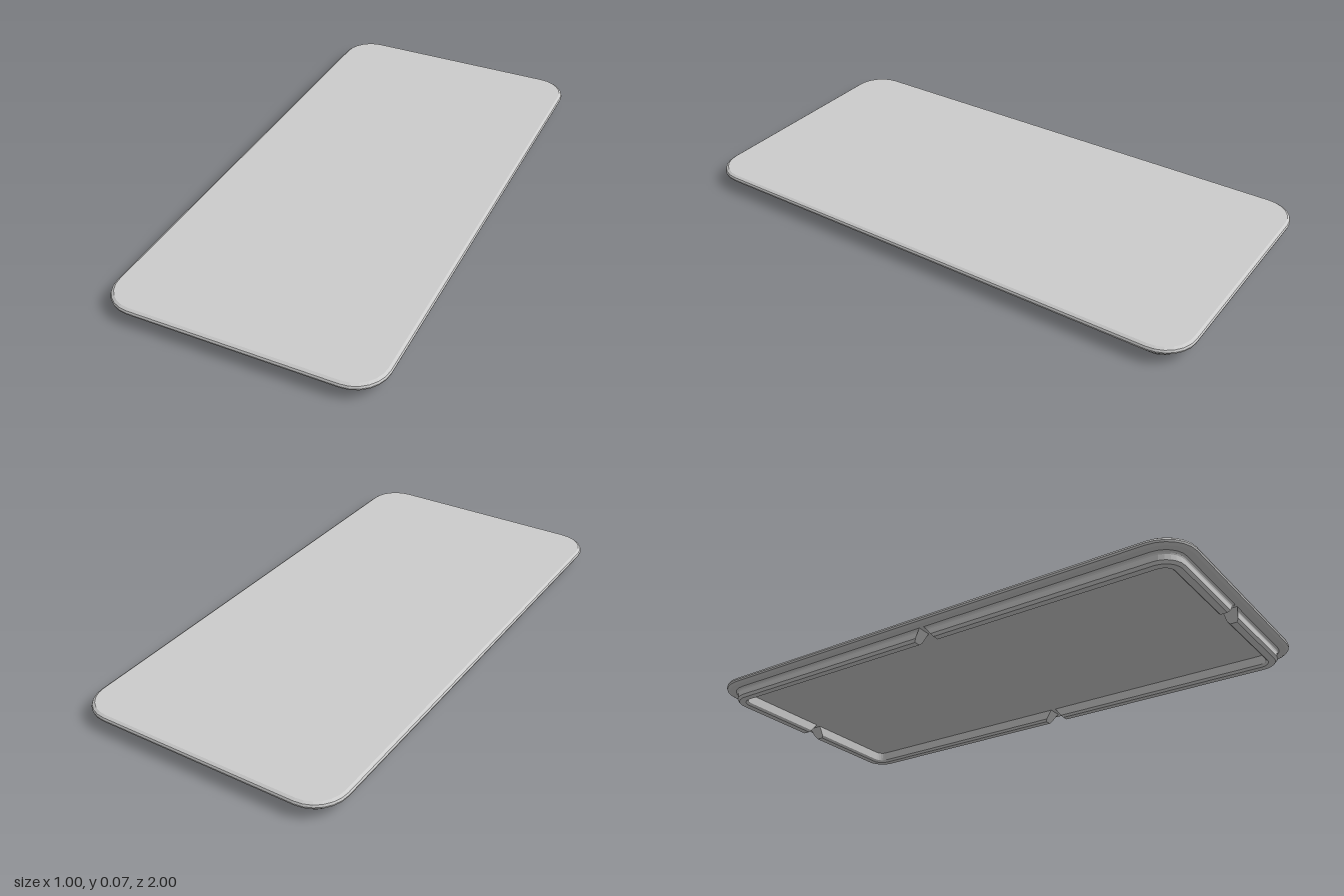
import * as THREE from 'three';

const W = 0.5, L = 1, R = 0.12, STEPS = 6;
const material = new THREE.MeshStandardMaterial({ color: 0xcccccc, flatShading: true });

// Joins rows of points into a surface; section can close, ends can be capped
function loft(rows, { closeU, closeV, caps, flip }) {
  const nu = rows.length, nv = rows[0].length, index = [];
  const tri = (a, b, c) => index.push(...(flip ? [a, c, b] : [a, b, c]));
  const id = (u, v) => (u % nu) * nv + (v % nv);
  for (let u = 0; u < (closeU ? nu : nu - 1); u++) {
    for (let v = 0; v < (closeV ? nv : nv - 1); v++) {
      tri(id(u, v), id(u + 1, v), id(u, v + 1));
      tri(id(u + 1, v), id(u + 1, v + 1), id(u, v + 1));
    }
  }
  if (caps) {
    for (let v = 1; v < nv - 1; v++) {
      tri(id(0, 0), id(0, v), id(0, v + 1));
      tri(id(nu - 1, 0), id(nu - 1, v + 1), id(nu - 1, v));
    }
  }
  const geometry = new THREE.BufferGeometry();
  geometry.setAttribute('position', new THREE.Float32BufferAttribute(rows.flat(2), 3));
  geometry.setIndex(index);
  const flat = geometry.toNonIndexed();
  flat.computeVertexNormals();
  return flat;
}

// Point on a rounded corner, inset from the plate edge
function cornerPoint(angle, inset, y, sx = 1, sz = 1) {
  const r = R - inset;
  return [sx * (W - R + r * Math.cos(angle)), y, sz * (L - R + r * Math.sin(angle))];
}

// Plate with bevelled edges; profile entries are [inset, y]
function plateGeometry() {
  const profile = [[0.012, 0.068], [0.003, 0.062], [0, 0.054], [0.002, 0.047], [0.012, 0.041], [0.06, 0.04]];
  const rows = [];
  for (let q = 0; q < 4; q++) {
    const sx = q === 0 || q === 3 ? 1 : -1, sz = q < 2 ? 1 : -1;
    for (let i = 0; i <= STEPS; i++) {
      const t = (q % 2 ? STEPS - i : i) / STEPS * Math.PI / 2;
      const ring = profile.map(([inset, y]) => cornerPoint(t, inset, y, sx, sz));
      rows.push([[0, 0.068, 0], ...ring, [0, 0.04, 0]]);
    }
  }
  return loft(rows, { closeU: true });
}

// One quarter of the foot rim, with slanted ends that leave V-shaped notches
function rimGeometry(sx, sz) {
  const section = [[0.035, 0.042], [0.043, 0.035], [0.045, 0.03], [0.045, 0.01], [0.053, 0],
    [0.078, 0], [0.086, 0.008], [0.09, 0.042]];
  const gap = (y) => 0.008 + 0.032 * (1 - y / 0.042);
  const rows = [section.map(([d, y]) => [sx * (W - d), y, sz * gap(y)])];
  for (let i = 0; i <= STEPS; i++) {
    rows.push(section.map(([d, y]) => cornerPoint(i / STEPS * Math.PI / 2, d, y, sx, sz)));
  }
  rows.push(section.map(([d, y]) => [sx * gap(y), y, sz * (L - d)]));
  return loft(rows, { closeV: true, caps: true, flip: sx * sz < 0 });
}

export function createModel() {
  const group = new THREE.Group();
  group.name = 'tray';
  const add = (name, geometry) => {
    const mesh = new THREE.Mesh(geometry, material);
    mesh.name = name;
    group.add(mesh);
  };
  add('plate', plateGeometry());
  for (const sx of [1, -1]) {
    for (const sz of [1, -1]) {
      add(`${sz > 0 ? 'front' : 'back'}${sx > 0 ? 'Left' : 'Right'}FootRim`, rimGeometry(sx, sz));
    }
  }
  return group;
}
